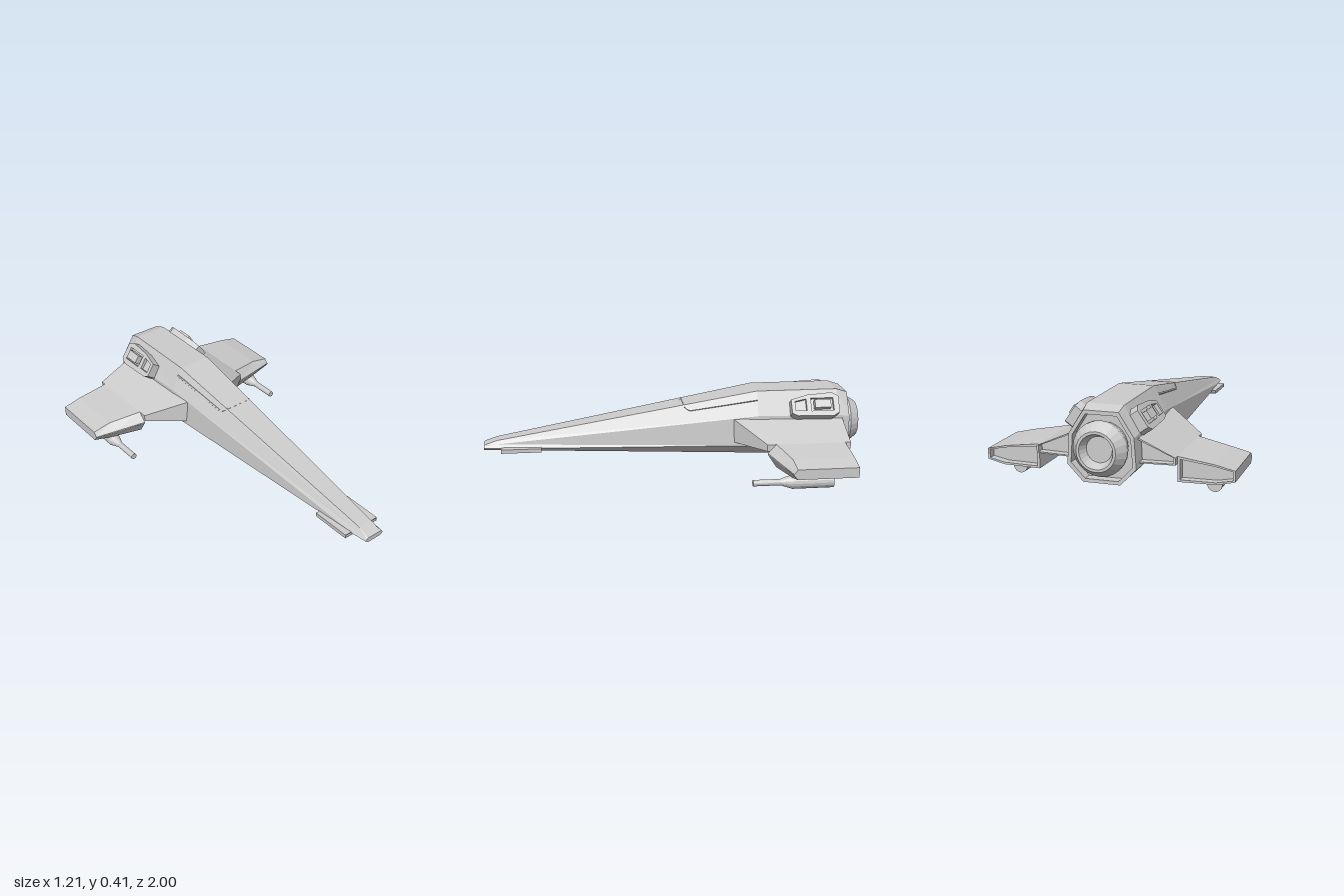
import * as THREE from 'three';

const grey = new THREE.MeshStandardMaterial({ color: 0xcccccc, flatShading: true, side: THREE.DoubleSide });

function add(parent, name, geometry) {
  const mesh = new THREE.Mesh(geometry, grey);
  mesh.name = name;
  parent.add(mesh);
  return mesh;
}

const centre = (ring) =>
  ring.reduce((c, p) => c.add(p), new THREE.Vector3()).divideScalar(ring.length);

// Skins rings running front to rear (counter-clockwise seen from the front) and caps both ends
function loft(rings) {
  const pos = [];
  const tri = (...pts) => pts.forEach((p) => pos.push(p.x, p.y, p.z));
  const n = rings[0].length;
  const first = rings[0], last = rings[rings.length - 1];
  const c0 = centre(first), c1 = centre(last);
  for (let j = 0; j < n; j++) {
    const k = (j + 1) % n;
    for (let i = 0; i < rings.length - 1; i++) {
      const a = rings[i], b = rings[i + 1];
      tri(a[j], b[j], a[k]);
      tri(a[k], b[j], b[k]);
    }
    tri(c0, first[j], first[k]);
    tri(c1, last[k], last[j]);
  }
  const g = new THREE.BufferGeometry();
  g.setAttribute('position', new THREE.Float32BufferAttribute(pos, 3));
  g.computeVertexNormals();
  return g;
}

// Adds a rim and a sunken panel behind the last ring; border is the rim width
function recess(rings, border, depth) {
  const last = rings[rings.length - 1];
  const c = centre(last);
  const box = new THREE.Box3().setFromPoints(last).getSize(new THREE.Vector3());
  const sx = 1 - (2 * border) / box.x, sy = 1 - (2 * border) / box.y;
  const inset = (dz) => last.map((p) =>
    new THREE.Vector3(c.x + (p.x - c.x) * sx, c.y + (p.y - c.y) * sy, p.z + dz));
  return [...rings, inset(0), inset(depth)];
}

// Points listed clockwise for the left side; mirrored for the right
function sideRing(points, s) {
  const ring = points.map(([x, y, z]) => new THREE.Vector3(s * x, y, z));
  return s > 0 ? ring.reverse() : ring;
}

function polygon(points, flip, Type = THREE.Shape) {
  return new Type(points.map(([a, b]) => new THREE.Vector2(a * flip, b)));
}

function buildHull(group) {
  // z, then half section: top, shoulder, widest, keel
  const sections = [
    [1.0, [0.042, 0.142], [0.05, 0.138], [0.058, 0.128], [0.04, 0.116]],
    [0.93, [0.04, 0.165], [0.052, 0.147], [0.066, 0.128], [0.042, 0.113]],
    [-0.44, [0.09, 0.405], [0.153, 0.285], [0.165, 0.126], [0.087, 0.062]],
    [-0.87, [0.09, 0.405], [0.163, 0.28], [0.17, 0.125], [0.09, 0.047]],
    [-0.93, [0.085, 0.385], [0.157, 0.272], [0.167, 0.125], [0.09, 0.045]],
  ];
  const rings = sections.map(([z, ...half]) => [
    ...half.slice().reverse().map(([x, y]) => new THREE.Vector3(x, y, z)),
    ...half.map(([x, y]) => new THREE.Vector3(-x, y, z)),
  ]);
  add(group, 'hull', loft(recess(rings, 0.018, 0.05)));

  // Canopy seam, a raised U wrapped over the spine
  const half = [[0.113, 0.364, -0.44], [0.092, 0.311, -0.08], [0.075, 0.334, -0.05]];
  const pts = [...half, ...half.slice().reverse().map(([x, y, z]) => [-x, y, z])]
    .map((p) => new THREE.Vector3(...p));
  const path = new THREE.CurvePath();
  for (let i = 0; i < pts.length - 1; i++) path.add(new THREE.LineCurve3(pts[i], pts[i + 1]));
  add(group, 'canopySeam', new THREE.TubeGeometry(path, 80, 0.006, 5));

  // Engine nozzle with a sunken exhaust disc
  const profile = [[0.11, 0.87], [0.13, 0.93], [0.13, 0.95], [0.095, 1], [0.082, 1], [0.062, 0.955], [0, 0.955]];
  const nozzle = new THREE.LatheGeometry(profile.map((p) => new THREE.Vector2(...p)), 24);
  add(group, 'engineNozzle', nozzle.rotateX(-Math.PI / 2)).position.y = 0.213;
}

function buildWing(group, s) {
  // Inner panel with a blunt leading edge
  const root = [[0.148, 0.27], [0.338, 0.185], [0.338, 0.15], [0.148, 0.145]];
  const sweep = [-0.31, -0.453, -0.453, -0.31];
  add(group, 'innerWing', loft(recess([
    sideRing(root.map(([x, y], i) => [x, y, sweep[i]]), s),
    sideRing(root.map(([x, y]) => [x, y, -0.89]), s),
  ], 0.01, 0.04)));

  // Outer panel, leading edge bevelled above and below
  const outline = [[0.338, 0.185], [0.51, 0.162], [0.607, 0.14], [0.607, 0.088], [0.52, 0.068], [0.338, 0.065]];
  const front = [-0.5, -0.545, -0.55, -0.55, -0.545, -0.5];
  const edgeY = [0.14, 0.125, 0.118, 0.112, 0.119, 0.134];
  const edgeZ = [-0.455, -0.503, -0.53, -0.53, -0.506, -0.455];
  add(group, 'outerWing', loft(recess([
    sideRing(outline.map(([x], i) => [x, edgeY[i], edgeZ[i]]), s),
    sideRing(outline.map(([x, y], i) => [x, y, front[i]]), s),
    sideRing(outline.map(([x, y]) => [x, y, -0.86]), s),
  ], 0.012, 0.04)));

  // Cannon slung under the outer panel
  const profile = [[0, -0.76], [0.036, -0.76], [0.036, -0.55], [0.016, -0.49], [0.016, -0.35], [0, -0.35]];
  const gun = new THREE.LatheGeometry(profile.map((p) => new THREE.Vector2(...p)), 16);
  add(group, 'wingCannon', gun.rotateX(Math.PI / 2)).position.set(s * 0.487, 0.036, 0);
}

function buildPod(group, s) {
  // Local axes: x runs along the hull, y up its slope, z outward
  const pod = new THREE.Group();
  pod.name = 'shoulderPod';
  const a = 0.607;
  pod.matrix.makeBasis(
    new THREE.Vector3(0, 0, -s),
    new THREE.Vector3(-s * Math.sin(a), Math.cos(a), 0),
    new THREE.Vector3(s * Math.cos(a), Math.sin(a), 0),
  ).setPosition(s * 0.144, 0.324, 0);
  pod.matrix.decompose(pod.position, pod.quaternion, pod.scale);
  group.add(pod);

  const outline = [[0.61, -0.045], [0.64, -0.06], [0.83, -0.065], [0.865, -0.045], [0.865, 0.045],
    [0.83, 0.065], [0.7, 0.055], [0.61, 0.03]];
  const plate = polygon(outline, s);
  plate.holes.push(
    polygon([[0.63, -0.032], [0.69, -0.032], [0.69, 0.032], [0.63, 0.02]], s, THREE.Path),
    polygon([[0.715, -0.035], [0.835, -0.035], [0.835, 0.035], [0.715, 0.035]], s, THREE.Path),
  );
  const extrude = (shape, depth) => new THREE.ExtrudeGeometry(shape, { depth, bevelEnabled: false });
  add(pod, 'podBase', extrude(polygon(outline, s), 0.042)).position.z = -0.02;
  add(pod, 'podFrame', extrude(plate, 0.018)).position.z = 0.022;
  add(pod, 'podVent', new THREE.BoxGeometry(0.085, 0.045, 0.04)).position.set(s * 0.775, 0, 0.036);
}

function buildNoseGun(group, s) {
  // Open-ended rectangular muzzle beside the nose
  const w = 0.024, h = 0.01;
  const shape = polygon([[-w, -h], [w, -h], [w, h], [-w, h]], 1);
  shape.holes.push(polygon([[-w + 0.005, -h + 0.004], [w - 0.005, -h + 0.004],
    [w - 0.005, h - 0.004], [-w + 0.005, h - 0.004]], 1, THREE.Path));
  const body = new THREE.ExtrudeGeometry(shape, { depth: 0.21, bevelEnabled: false });
  add(group, 'noseGun', body).position.set(s * 0.081, 0.122, 0.7);
  add(group, 'noseGunCore', new THREE.BoxGeometry(0.04, 0.014, 0.17)).position.set(s * 0.081, 0.122, 0.805);
}

export function createModel() {
  const model = new THREE.Group();
  model.name = 'starfighter';
  buildHull(model);
  for (const s of [1, -1]) {
    const side = new THREE.Group();
    side.name = s > 0 ? 'leftSide' : 'rightSide';
    buildWing(side, s);
    buildPod(side, s);
    buildNoseGun(side, s);
    model.add(side);
  }
  return model;
}
